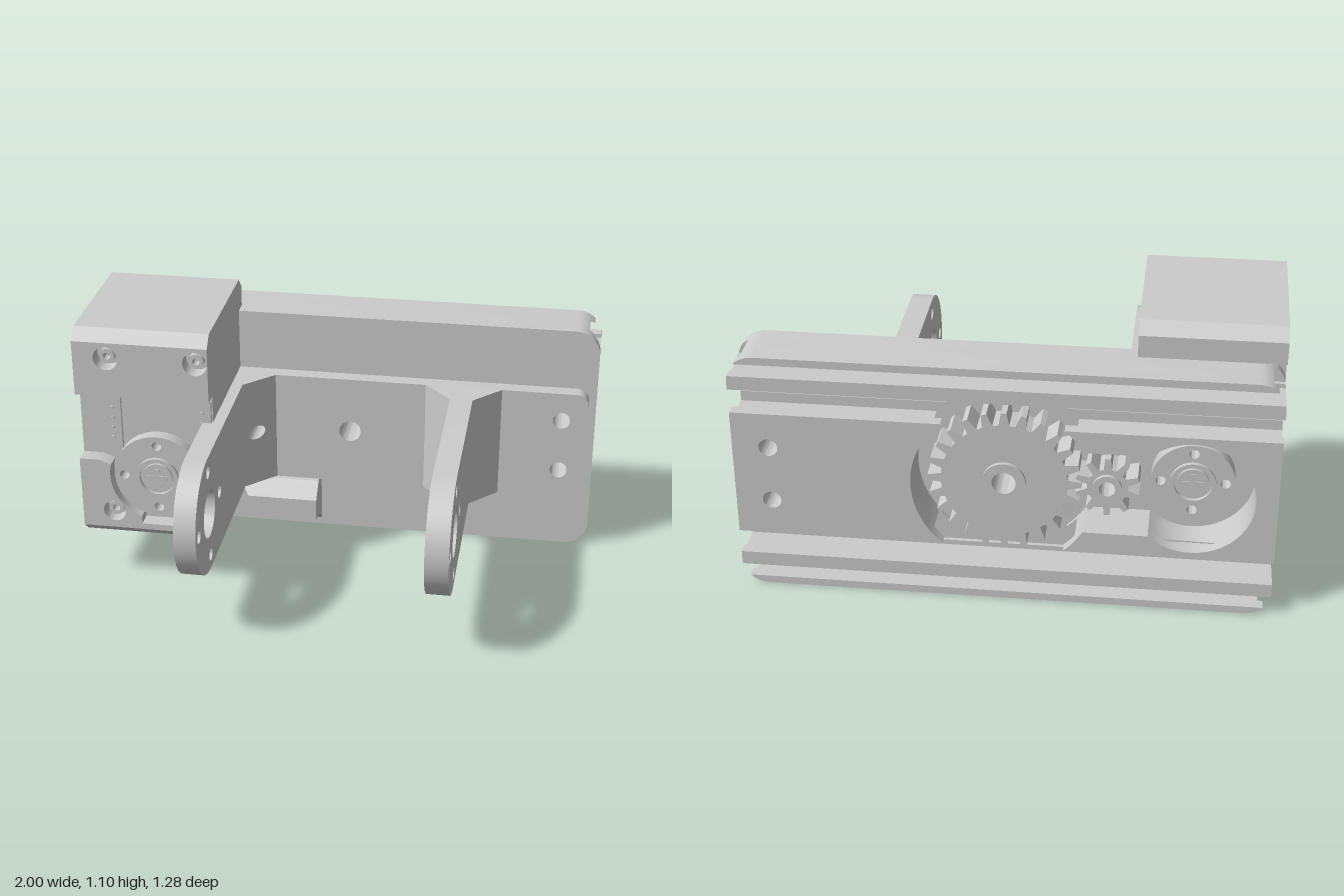
import * as THREE from 'three';
import { toCreasedNormals } from 'three/addons/utils/BufferGeometryUtils.js';

const MID = 0.485; // height of the shaft axis and of the mirror plane
const TAU = Math.PI * 2;

export function createModel() {
  const model = new THREE.Group();
  const mat = new THREE.MeshStandardMaterial({ color: 0xcccccc });

  const add = (name, geo) => {
    const mesh = new THREE.Mesh(toCreasedNormals(geo, 0.5), mat);
    mesh.name = name;
    model.add(mesh);
    return mesh;
  };
  const poly = (pts) => new THREE.Shape(pts.map(([x, y]) => new THREE.Vector2(x, y)));
  const rect = (x0, x1, y0, y1) => poly([[x0, y0], [x1, y0], [x1, y1], [x0, y1]]);
  const arc = (cx, cy, r, a0, a1, n = 24) => Array.from({ length: n + 1 }, (_, i) => {
    const a = a0 + (a1 - a0) * i / n;
    return [cx + r * Math.cos(a), cy + r * Math.sin(a)];
  });
  const drill = (shape, holes) => {
    for (const [x, y, r] of holes) shape.holes.push(new THREE.Path().absarc(x, y, r, 0, TAU, true));
    return shape;
  };
  const alongZ = (shape, z0, z1) =>
    new THREE.ExtrudeGeometry(shape, { depth: z1 - z0, bevelEnabled: false, curveSegments: 20 }).translate(0, 0, z0);
  // Shape is drawn as (z, y) and swept from x0 to x1
  const alongX = (shape, x0, x1) =>
    new THREE.ExtrudeGeometry(shape, { depth: x1 - x0, bevelEnabled: false, curveSegments: 24 })
      .rotateY(-Math.PI / 2).translate(x1, 0, 0);
  const disc = (name, x, y, r, z0, z1, holes = []) =>
    add(name, alongZ(drill(poly(arc(x, y, r, 0, TAU, 40).slice(0, -1)), holes), z0, z1));

  // ---- Slotted rail: layers of strips clipped to a rounded outline ----
  const halfWidth = (y) => {
    const over = Math.abs(y - MID) - 0.385;
    return over > 0 ? 0.9 + Math.sqrt(Math.max(0, 0.01 - over * over)) : 1;
  };
  const strip = (y0, y1) => {
    const ys = Array.from({ length: 17 }, (_, i) => y0 + (y1 - y0) * i / 16);
    return poly([...ys.map((y) => [halfWidth(y), y]), ...ys.reverse().map((y) => [-halfWidth(y), y])]);
  };
  const boltHoles = [[0.865, 0.6, 0.035], [0.865, 0.375, 0.035]];
  const shaftHoles = [[-0.38, MID, 0.03], [0, MID, 0.045]];

  const outline = poly([
    ...arc(0.9, 0.1, 0.1, -TAU / 4, 0, 10), ...arc(0.9, 0.87, 0.1, 0, TAU / 4, 10),
    ...arc(-0.9, 0.87, 0.1, TAU / 4, TAU / 2, 10), ...arc(-0.9, 0.1, 0.1, TAU / 2, TAU * 0.75, 10)]);
  add('railPlate', alongZ(drill(outline, [...boltHoles, ...shaftHoles]), -0.46, -0.42));

  // z range, outer lip start, rib start, rib end, centre block half height
  const layers = [
    [-0.475, -0.46, 0.94, 0.835, 0.89, 0.255],
    [-0.595, -0.475, 0.955, 0.855, 0.873, 0.215],
    [-0.64, -0.595, 0.94, 0.835, 0.89, 0.255],
  ];
  for (const [z0, z1, lip, rib0, rib1, h] of layers) {
    add('upperLip', alongZ(strip(lip, 0.97), z0, z1));
    add('lowerLip', alongZ(strip(0, 0.97 - lip), z0, z1));
    add('upperRib', alongZ(strip(rib0, rib1), z0, z1));
    add('lowerRib', alongZ(strip(0.97 - rib1, 0.97 - rib0), z0, z1));

    // Centre block, with a pocket for the gear train cut out
    const R = 0.34, r = 0.23, neck = 0.17;
    const a = Math.asin(h / R), n = Math.asin(neck / R), s = Math.asin(neck / r);
    const right = poly([...arc(0, MID, R, a, -a), [1, MID - h], [1, MID + h]]);
    add('centreBlock', alongZ(drill(right, boltHoles), z0, z1));
    const left = poly([
      [-1, MID + h], [-1, MID - h],
      ...arc(0, MID, R, Math.PI + a, Math.PI + n, 6),
      ...arc(-0.69, MID, r, -s, s - TAU, 36),
      ...arc(0, MID, R, Math.PI - n, Math.PI - a, 6)]);
    add('gearPocket', alongZ(left, z0, z1));
  }

  // ---- Gear train ----
  const gear = (name, x, teeth, root, tip, bore, phase) => {
    const pts = [];
    for (let i = 0; i < teeth; i++) {
      for (const [f, rad] of [[-0.32, root], [-0.14, tip], [0.14, tip], [0.32, root]]) {
        const a = phase + (i + f) * TAU / teeth;
        pts.push([x + rad * Math.cos(a), MID + rad * Math.sin(a)]);
      }
    }
    add(name, alongZ(drill(poly(pts), [[x, MID, bore]]), -0.59, -0.48));
    disc(name + 'Hub', x, MID, bore * 1.8, -0.605, -0.46, [[x, MID, bore]]);
  };
  gear('largeGear', 0, 24, 0.235, 0.285, 0.045, 0);
  gear('pinion', -0.38, 10, 0.075, 0.12, 0.03, Math.PI / 10);

  // ---- U bracket ----
  const bracket = poly([[-0.51, 0.25], ...arc(0.92, 0.3, 0.05, -TAU / 4, 0, 8),
    ...arc(0.92, 0.67, 0.05, 0, TAU / 4, 8), [-0.51, 0.72]]);
  add('bracketPlate', alongZ(drill(bracket, [...boltHoles, ...shaftHoles]), -0.42, -0.36));
  for (const [name, x0, x1] of [['rightArm', -0.51, -0.425], ['leftArm', 0.42, 0.51]]) {
    const arm = poly([[-0.36, 0.25], ...arc(0.405, MID, 0.235, -TAU / 4, TAU / 4, 32), [-0.36, 0.72]]);
    const ring = [0, 1, 2, 3].map((i) =>
      [0.405 + 0.178 * Math.cos(i * TAU / 4), MID + 0.178 * Math.sin(i * TAU / 4), 0.027]);
    add(name, alongX(drill(arm, [[0.405, MID, 0.095], ...ring]), x0, x1));
  }
  // Gussets: a block whose front face is sheared down to the plate
  const gusset = (armX, footX, holes = []) => {
    const shape = drill(rect(Math.min(armX, footX), Math.max(armX, footX), 0.25, 0.72), holes);
    const geo = alongZ(shape, -0.36, -0.245);
    const p = geo.attributes.position;
    for (let i = 0; i < p.count; i++) {
      if (p.getZ(i) > -0.3) p.setZ(i, -0.36 + 0.115 * (footX - p.getX(i)) / (footX - armX));
    }
    geo.computeVertexNormals();
    add('gusset', geo);
  };
  gusset(-0.425, -0.31, [[-0.38, MID, 0.03]]);
  gusset(0.42, 0.31);
  gusset(0.51, 0.62);

  // Cable hook under the bracket, its outer end cut on a slant
  const hook = alongX(poly([[-0.42, 0.03], [-0.35, 0.095], [-0.275, 0.095], [-0.275, 0.19],
    [-0.34, 0.25], [-0.42, 0.25]]), -0.47, -0.13);
  const hp = hook.attributes.position;
  for (let i = 0; i < hp.count; i++) {
    if (hp.getX(i) < -0.3) hp.setX(i, -0.47 + (0.25 - hp.getY(i)) * 0.82);
  }
  hook.computeVertexNormals();
  add('cableHook', hook);

  // ---- Motor case ----
  add('motorCase', alongX(poly([
    [-0.42, 0.16], [-0.35, 0.21], [0.12, 0.21], [0.165, 0.25], [0.1, 0.25], [0.1, 1.055],
    [0.165, 1.055], [0.12, 1.1], [-0.435, 1.1], [-0.48, 1.055], [-0.48, 0.97], [-0.42, 0.97]]), -1, -0.47));
  add('caseTopLip', alongZ(drill(rect(-1, -0.47, 0.83, 1.055),
    [[-0.87, 0.99, 0.048], [-0.52, 0.99, 0.048]]), 0.1, 0.165));
  const MX = -0.69;
  const c = Math.acos(0.07 / 0.19);
  const lower = poly([[-1, 0.25], [-0.47, 0.25], [-0.47, 0.52],
    ...arc(MX, MID, 0.19, 0.18, -c, 14), [MX + 0.07, 0.275], [MX - 0.07, 0.275],
    ...arc(MX, MID, 0.19, Math.PI + c, Math.PI - 0.25, 14), [-0.92, 0.55], [-1, 0.55]]);
  add('caseLowerLip', alongZ(drill(lower, [[-0.87, 0.325, 0.045], [-0.51, 0.325, 0.035]]), 0.1, 0.165));
  for (const [x, y] of [[-0.87, 0.99], [-0.52, 0.99], [-0.87, 0.325], [-0.51, 0.325]]) {
    disc('caseScrew', x, y, 0.03, 0.09, 0.14, [[x, y, 0.014]]);
  }
  // Cable sockets with their pins
  for (const x of [-0.87, -0.51]) {
    add('socket', alongZ(rect(x - 0.035, x + 0.035, 0.58, 0.81), 0.09, 0.115));
    for (let i = 0; i < 4; i++) disc('socketPin', x, 0.63 + i * 0.043, 0.008, 0.11, 0.122);
  }

  // ---- Output horns, front and back ----
  const horn = (name, r, z0, z1, dir) => {
    const face = dir > 0 ? z1 : z0;
    const raised = (h) => (dir > 0 ? [face - 0.02, face + h] : [face - h, face + 0.02]);
    const holes = [0, 1, 2, 3].map((i) =>
      [MX + 0.77 * r * Math.cos(i * TAU / 4), MID + 0.77 * r * Math.sin(i * TAU / 4), 0.019]);
    disc(name, MX, MID, r, z0, z1, holes);
    disc(name + 'Collar', MX, MID, 0.085, ...raised(0.015), [[MX, MID, 0.07]]);
    disc(name + 'Screw', MX, MID, 0.06, ...raised(0.01));
    for (const [w, h] of [[0.04, 0.01], [0.01, 0.04]]) {
      add(name + 'ScrewCross', alongZ(rect(MX - w, MX + w, MID - h, MID + h), ...raised(0.013)));
    }
  };
  horn('frontHorn', 0.175, 0.09, 0.15, 1);
  horn('backHorn', 0.155, -0.52, -0.455, -1);

  return model;
}
